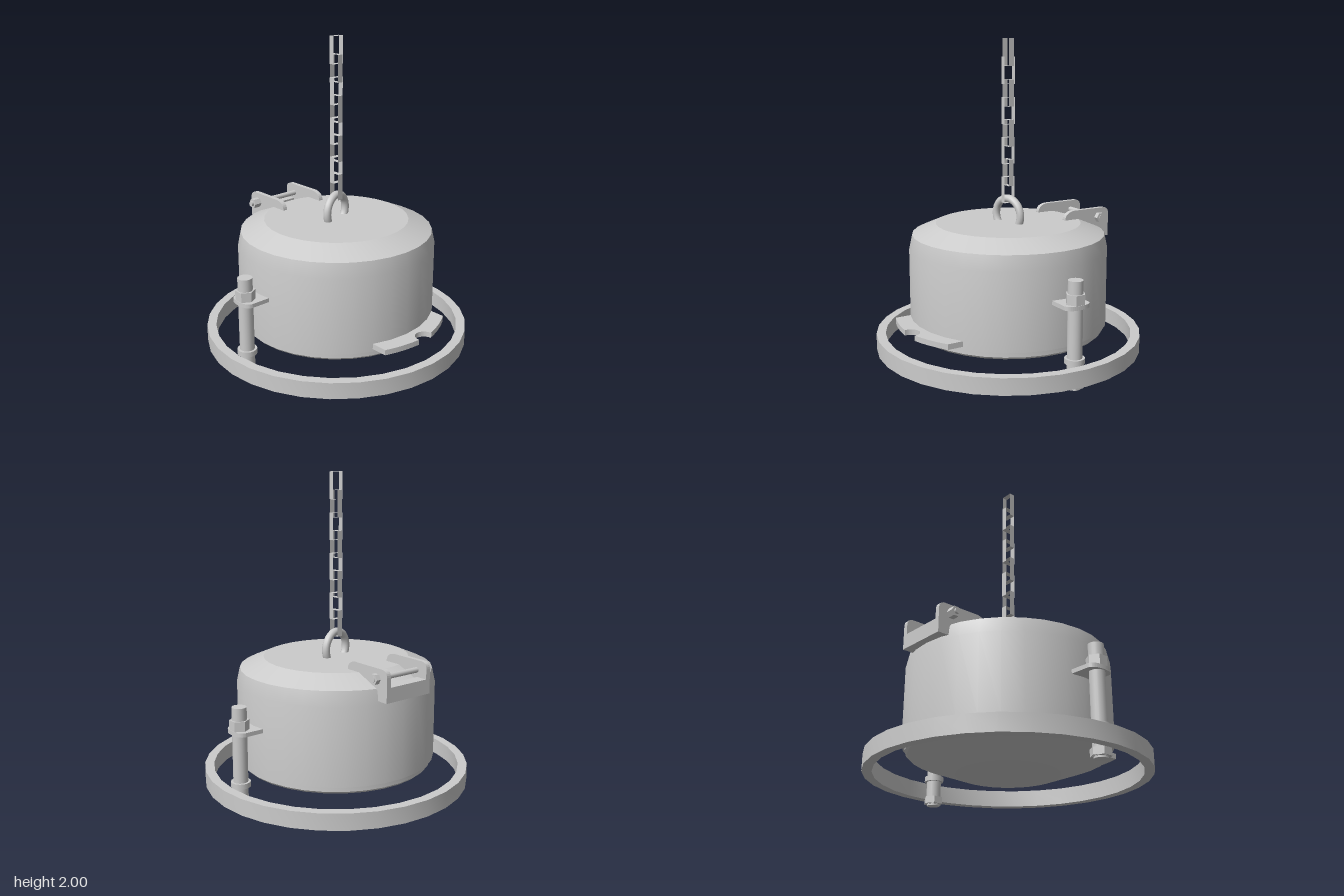
import * as THREE from 'three';
import { toCreasedNormals } from 'three/addons/utils/BufferGeometryUtils.js';

export function createModel() {
  const root = new THREE.Group();
  const grey = new THREE.MeshStandardMaterial({ color: 0xcccccc });
  const flat = new THREE.MeshStandardMaterial({ color: 0xcccccc, flatShading: true });
  const thin = new THREE.MeshStandardMaterial({ color: 0xcccccc, flatShading: true, side: THREE.DoubleSide });

  const add = (name, geo, parent = root, mat = grey) => {
    const mesh = new THREE.Mesh(geo, mat);
    mesh.name = name;
    parent.add(mesh);
    return mesh;
  };
  const lathe = (pts, segments = 32) => toCreasedNormals(
    new THREE.LatheGeometry(pts.map(([x, y]) => new THREE.Vector2(x, y)), segments), 0.3);
  // Upright cylinder between two heights
  const post = (r, y0, y1, sides = 20) =>
    new THREE.CylinderGeometry(r, r, y1 - y0, sides).translate(0, (y0 + y1) / 2, 0);
  // Horizontal plate: shape y becomes z, top face at the given height
  const plate = (shape, top, thickness) =>
    new THREE.ExtrudeGeometry(shape, { depth: thickness, bevelEnabled: false, curveSegments: 10 })
      .rotateX(Math.PI / 2).translate(0, top, 0);

  // Drum with a chamfered top, stepped foot and dished underside
  add('drum', lathe([
    [0, 0.06], [0.31, 0.06], [0.595, 0.165], [0.61, 0.18], [0.61, 0.215], [0.63, 0.215],
    [0.63, 0.7], [0.61, 0.79], [0.46, 0.855], [0, 0.855],
  ]));

  // Base ring
  add('baseRing', lathe([
    [0.79, 0.052], [0.848, 0.052], [0.848, 0.155], [0.79, 0.155], [0.79, 0.052],
  ]));

  // Lifting eye
  const eye = add('liftingEye', new THREE.TorusGeometry(0.105, 0.025, 12, 32));
  eye.position.y = 0.9;
  eye.rotation.y = 0.26;

  // Chain of thin rectangular bands, alternately turned
  const chain = new THREE.Group();
  chain.name = 'chain';
  root.add(chain);
  const linkGeo = new THREE.CylinderGeometry(Math.SQRT1_2, Math.SQRT1_2, 1, 4, 1, true, Math.PI / 4)
    .rotateX(Math.PI / 2).scale(0.074, 0.167, 0.036);
  for (let i = 0; i < 8; i++) {
    const link = add('chainLink', linkGeo, chain, thin);
    link.position.y = 1.9165 - Math.floor(i / 2) * 0.248 - (i % 2) * 0.11;
    link.rotation.y = (i % 2) * Math.PI / 2;
  }

  // Side bolts with their lugs
  const lug = new THREE.Shape();
  lug.moveTo(-0.14, -0.085);
  lug.lineTo(0.01, -0.085);
  lug.quadraticCurveTo(0.055, -0.08, 0.055, 0);
  lug.quadraticCurveTo(0.055, 0.08, 0.01, 0.085);
  lug.lineTo(-0.14, 0.085);
  for (const side of [1, -1]) {
    const bolt = new THREE.Group();
    bolt.name = side > 0 ? 'leftBolt' : 'rightBolt';
    bolt.position.x = side * 0.73;
    bolt.rotation.y = side > 0 ? 0 : Math.PI;
    add('rod', post(0.045, 0.01, 0.65), bolt);
    add('collar', post(0.06, 0.155, 0.187), bolt);
    add('upperNut', post(0.06, 0.512, 0.572, 6), bolt, flat);
    add('lowerNut', post(0.06, 0.012, 0.055, 6), bolt, flat);
    add('rodEnd', post(0.04, 0, 0.02), bolt);
    add('lug', plate(lug, 0.512, 0.025), bolt, flat);
    root.add(bolt);
  }

  // Hinge on the rear top edge
  const hinge = new THREE.Group();
  hinge.name = 'hinge';
  root.add(hinge);
  const cheek = new THREE.Shape();
  cheek.moveTo(0.325, 0.84);
  cheek.lineTo(0.325, 0.86);
  cheek.quadraticCurveTo(0.33, 0.905, 0.39, 0.912);
  cheek.lineTo(0.63, 0.912);
  cheek.quadraticCurveTo(0.67, 0.91, 0.67, 0.87);
  cheek.lineTo(0.67, 0.72);
  cheek.lineTo(0.6, 0.72);
  cheek.lineTo(0.59, 0.78);
  cheek.lineTo(0.46, 0.84);
  const cheekGeo = new THREE.ExtrudeGeometry(cheek, { depth: 0.03, bevelEnabled: false, curveSegments: 6 })
    .rotateY(Math.PI / 2);
  for (const x of [-0.17, 0.14]) add('hingeCheek', cheekGeo, hinge, flat).position.x = x;
  add('hingeBar', new THREE.BoxGeometry(0.34, 0.09, 0.075), hinge).position.set(0, 0.765, -0.6325);

  // Hinge pin along x, with head and nut
  const pin = (name, r, x0, x1, sides, mat) => {
    const geo = new THREE.CylinderGeometry(r, r, x1 - x0, sides).rotateZ(Math.PI / 2);
    add(name, geo, hinge, mat).position.set((x0 + x1) / 2, 0.852, -0.588);
  };
  pin('hingePin', 0.017, -0.24, 0.205, 12, grey);
  pin('pinNut', 0.033, -0.225, -0.175, 6, flat);
  pin('pinHead', 0.033, 0.172, 0.202, 6, flat);

  // Notched catch plate at the lower front
  const latch = new THREE.Shape();
  latch.moveTo(-0.24, 0.54);
  latch.lineTo(0.35, 0.5);
  latch.lineTo(0.35, 0.62);
  latch.quadraticCurveTo(0.24, 0.69, 0.12, 0.72);
  latch.absarc(0.06, 0.725, 0.06, 0, Math.PI, true);
  latch.lineTo(0, 0.732);
  latch.quadraticCurveTo(-0.13, 0.725, -0.24, 0.685);
  add('catchPlate', plate(latch, 0.267, 0.034), root, flat);

  return root;
}
